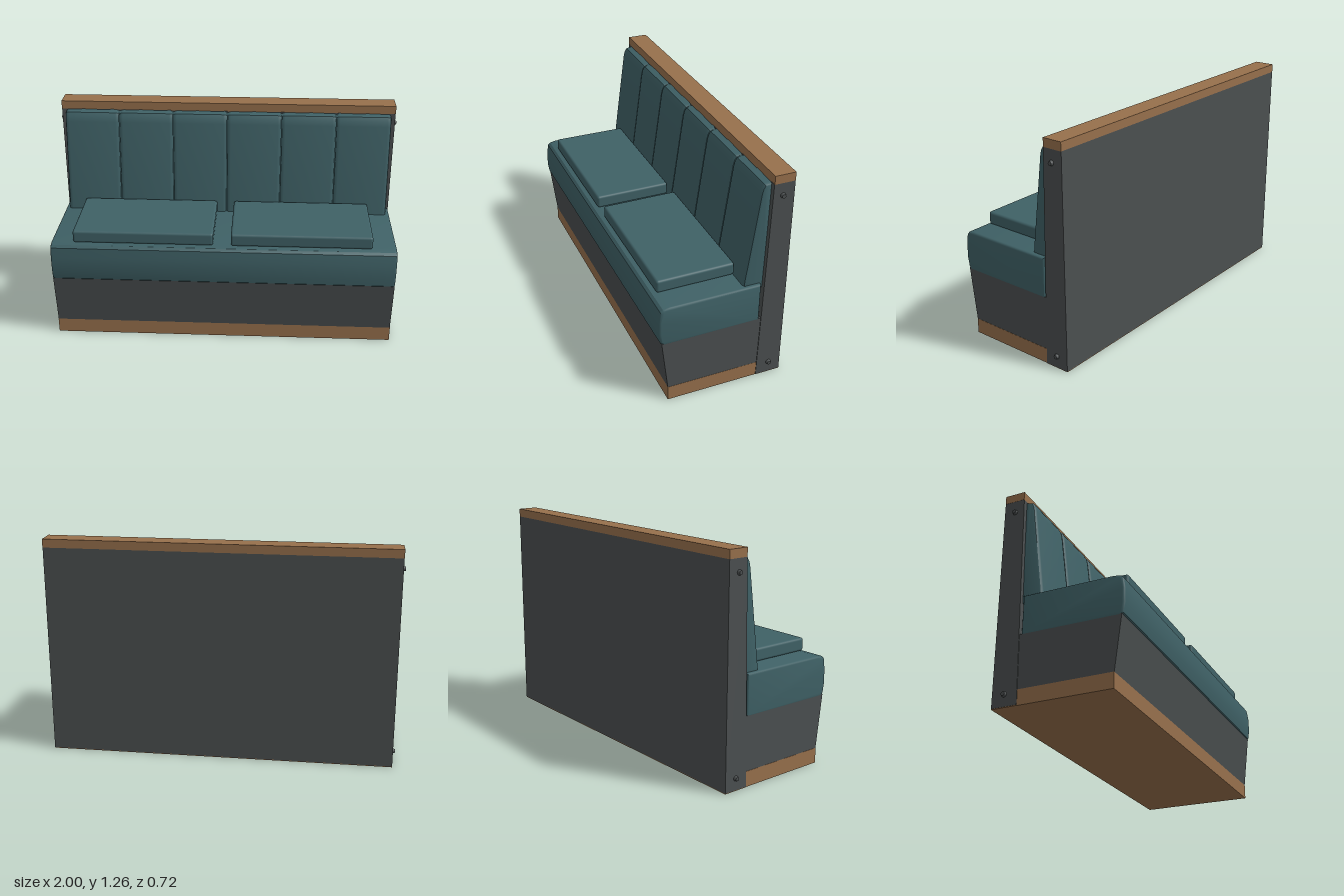
import * as THREE from 'three';
import { toCreasedNormals } from 'three/addons/utils/BufferGeometryUtils.js';
import { RoundedBoxGeometry } from 'three/addons/geometries/RoundedBoxGeometry.js';

const material = (name, color) => {
  const m = new THREE.MeshStandardMaterial({ color });
  m.name = name;
  return m;
};

// Extrude a side profile of [z, y] points along x, centred on x = 0.
function sideExtrude(points, width, bevel = 0, thickness = bevel) {
  const shape = new THREE.Shape(points.map(([z, y]) => new THREE.Vector2(z, y)));
  const depth = width - 2 * thickness;
  const geo = new THREE.ExtrudeGeometry(shape, {
    depth, bevelEnabled: bevel > 0, bevelSize: bevel, bevelThickness: thickness,
    bevelOffset: -bevel, bevelSegments: 3,
  });
  geo.rotateY(-Math.PI / 2);
  geo.translate(depth / 2, 0, 0);
  return toCreasedNormals(geo, 0.6);
}

export function createModel() {
  const teal = material('teal upholstery', 0x3f6166);
  const grey = material('dark grey panel', 0x4b4f50);
  const wood = material('wood', 0x97704c);
  const group = new THREE.Group();
  group.name = 'boothBench';

  const add = (name, geo, mat, x = 0, y = 0, z = 0) => {
    const mesh = new THREE.Mesh(geo, mat);
    mesh.name = name;
    mesh.position.set(x, y, z);
    group.add(mesh);
    return mesh;
  };

  // Wooden plinth, underside and top rail
  add('plinth', new THREE.BoxGeometry(1.966, 0.086, 0.53), wood, 0, 0.043, 0.045);
  add('underside', new THREE.BoxGeometry(1.97, 0.004, 0.145), wood, 0, 0.002, -0.2875);
  add('topRail', new THREE.BoxGeometry(1.974, 0.048, 0.116), wood, 0, 1.235, -0.302);

  // Upright back panel, slightly thinner at the top
  add('backPanel', sideExtrude(
    [[-0.36, 0.004], [-0.216, 0.004], [-0.243, 1.211], [-0.36, 1.211]], 1.972), grey);

  // Base with an outward-leaning front
  add('base', sideExtrude(
    [[-0.23, 0.086], [0.31, 0.086], [0.347, 0.39], [-0.23, 0.39]], 1.964), grey);

  // Main seat
  add('seat', sideExtrude(
    [[-0.215, 0.38], [0.335, 0.378], [0.353, 0.395], [0.362, 0.45], [0.361, 0.53],
      [0.352, 0.59], [0.338, 0.604], [0.30, 0.611], [-0.215, 0.611]], 1.966, 0.012), teal);

  // Two loose cushions
  for (const x of [-0.455, 0.445]) {
    add('seatCushion', new RoundedBoxGeometry(0.8, 0.074, 0.444, 3, 0.014), teal, x, 0.648, 0.098);
  }

  // Backrest: six padded channels over a recessed core
  const count = 6, channelWidth = 0.32;
  const channel = sideExtrude(
    [[-0.25, 0.57], [-0.116, 0.57], [-0.122, 0.64], [-0.188, 1.15], [-0.195, 1.18],
      [-0.208, 1.202], [-0.25, 1.211]], channelWidth, 0.014, 0.022);
  for (let i = 0; i < count; i++) {
    add('backrestChannel', channel, teal, (i - (count - 1) / 2) * channelWidth);
  }
  add('backrestCore', sideExtrude(
    [[-0.24, 0.57], [-0.127, 0.57], [-0.133, 0.64], [-0.2, 1.16], [-0.215, 1.195],
      [-0.24, 1.204]], 1.9), teal);

  // Bolts on both ends of the back panel
  const bolt = new THREE.CylinderGeometry(0.011, 0.016, 0.018, 16);
  for (const side of [-1, 1]) {
    for (const [y, z] of [[1.14, -0.295], [0.07, -0.29]]) {
      add('bolt', bolt, grey, side * 0.991, y, z).rotation.z = -side * Math.PI / 2;
    }
  }
  return group;
}
